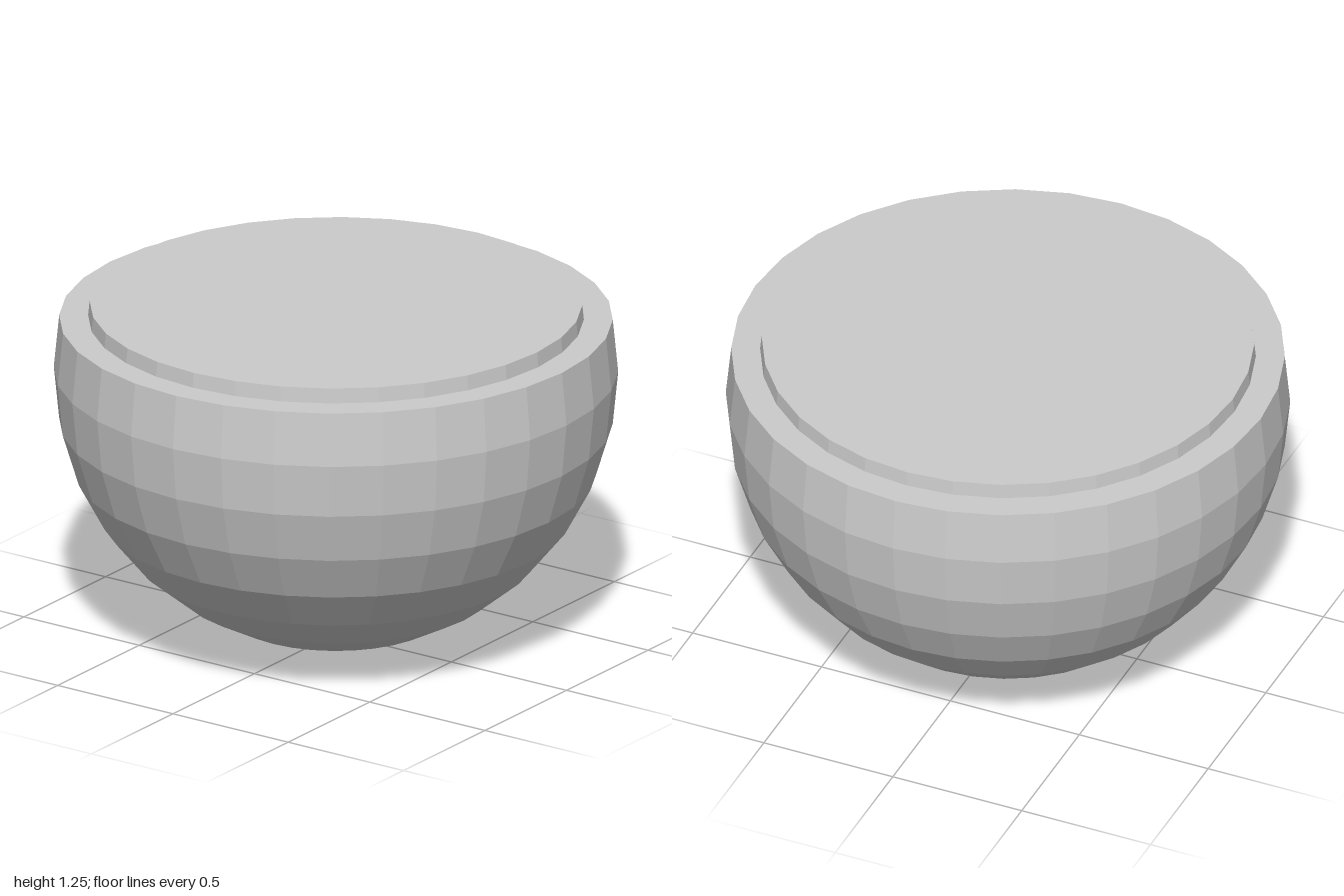
import * as THREE from 'three';

const SEGMENTS = 32;
const STEP = Math.PI / 16;

// Faceted sphere cut flat one ring above its equator, closed by a flat top
function cutSphere(name, radius, centerY) {
  const points = [];
  for (let i = 0; i <= 9; i++) {
    const a = i * STEP;
    points.push(new THREE.Vector2(i === 0 ? 0 : radius * Math.sin(a), centerY - radius * Math.cos(a)));
  }
  points.push(new THREE.Vector2(0, points[9].y));
  const material = new THREE.MeshStandardMaterial({ color: 0xcccccc, flatShading: true });
  const mesh = new THREE.Mesh(new THREE.LatheGeometry(points, SEGMENTS), material);
  mesh.name = name;
  return mesh;
}

export function createModel() {
  const group = new THREE.Group();
  group.name = 'roundBowl';
  // Outer bowl with its flat rim
  group.add(cutSphere('bowl', 1, 1));
  // Smaller filling, raised slightly above the rim
  group.add(cutSphere('filling', 0.89, 1.076));
  return group;
}
